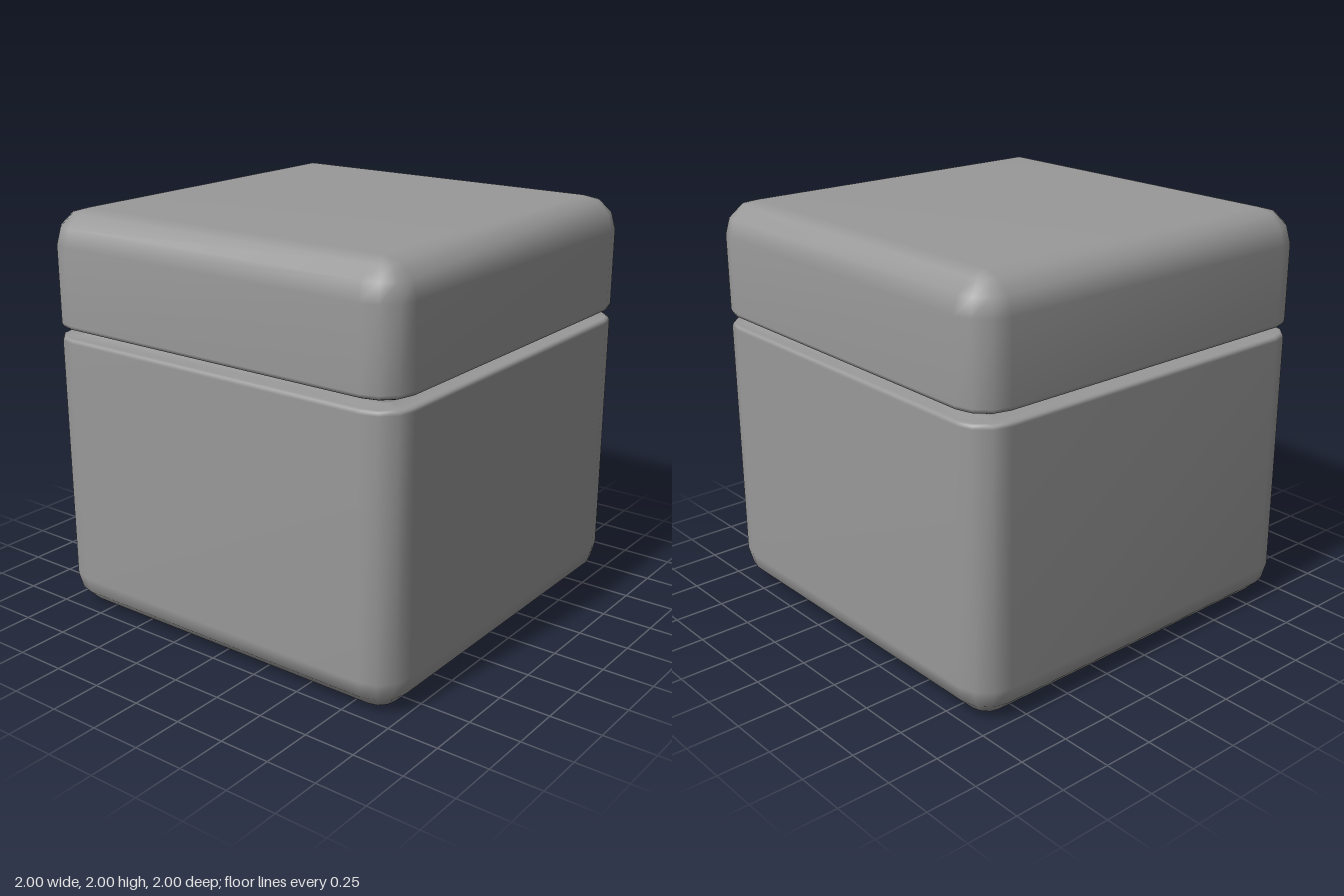
import * as THREE from 'three';
import { mergeVertices } from 'three/addons/utils/BufferGeometryUtils.js';

const R = 0.165;       // radius of the rounded corners
const C = 1 - R;       // corner centre line
const SEG = 3;         // segments per rounded corner

// Sweeps a profile of [offset from corner centre line, height], bottom to top,
// around a square plan with rounded corners. Offset -C closes at the middle.
function roundedSquareSweep(profile) {
  const pos = [], index = [], n = 4 * (SEG + 1);
  for (const [o, y] of profile) {
    const c = C + Math.min(o, 0), r = Math.max(o, 0);
    for (let q = 0; q < 4; q++) {
      const mid = (q + 0.5) * Math.PI / 2;
      for (let s = 0; s <= SEG; s++) {
        const a = (q + s / SEG) * Math.PI / 2;
        pos.push(c * Math.sign(Math.cos(mid)) + r * Math.cos(a), y,
          c * Math.sign(Math.sin(mid)) + r * Math.sin(a));
      }
    }
  }
  for (let i = 0; i < profile.length - 1; i++) {
    for (let j = 0; j < n; j++) {
      const a = i * n + j, b = i * n + (j + 1) % n;
      index.push(a, a + n, b, b, a + n, b + n);
    }
  }
  let geo = new THREE.BufferGeometry();
  geo.setAttribute('position', new THREE.Float32BufferAttribute(pos, 3));
  geo.setIndex(index);
  geo = mergeVertices(geo, 1e-5);
  geo.computeVertexNormals();
  return geo;
}

// Quarter-round edge from the flat face (offset 0) to the side wall (offset R)
function quarterRound(y, dir) {
  return Array.from({ length: SEG + 1 }, (_, i) => {
    const a = (i / SEG) * Math.PI / 2;
    return [R * Math.sin(a), y + dir * R * (1 - Math.cos(a))];
  });
}

export function createModel() {
  const group = new THREE.Group();
  const material = new THREE.MeshStandardMaterial({ color: 0x999999 });
  const add = (name, profile) => {
    const mesh = new THREE.Mesh(roundedSquareSweep(profile), material);
    mesh.name = name;
    group.add(mesh);
  };
  const lip = 0.055, bodyTop = 1.397, lidBottom = 1.438;
  const lipMiddle = (bodyTop + lidBottom) / 2;

  // Box body with a softened rim and the lower half of the recessed lip
  add('body', [[-C, 0], ...quarterRound(0, 1),
    [R, bodyTop - 0.02], [R - 0.006, bodyTop - 0.006], [R - 0.02, bodyTop],
    [lip, bodyTop], [lip, lipMiddle]]);

  // Lid with the upper half of the lip, a softened lower edge and a rounded top
  add('lid', [[lip, lipMiddle], [lip, lidBottom],
    [R - 0.025, lidBottom], [R - 0.007, lidBottom + 0.007], [R, lidBottom + 0.025],
    ...quarterRound(2, -1).reverse(), [-C, 2]]);

  return group;
}
